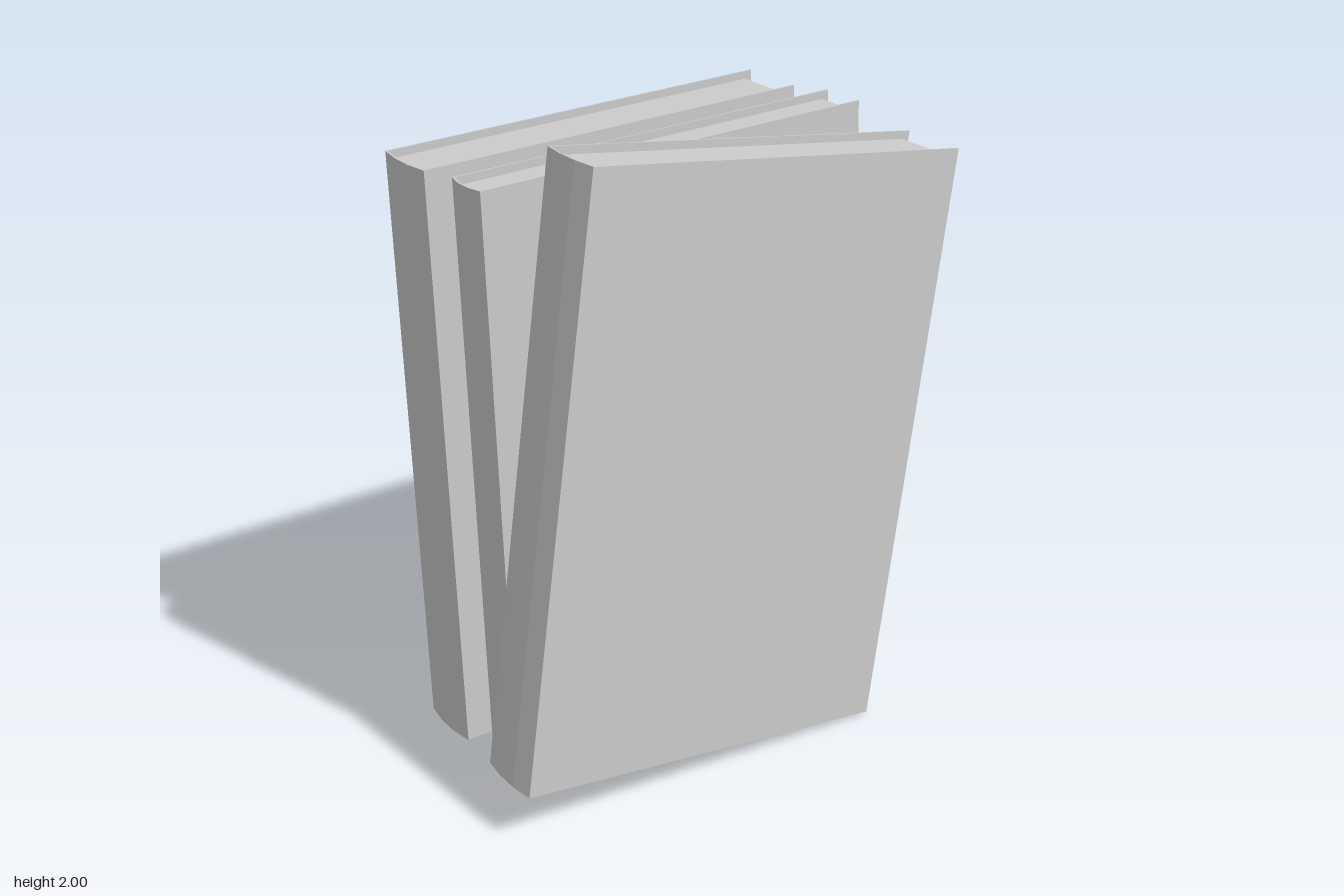
import * as THREE from 'three';

const WIDTH = 1.28, HEIGHT = 1.842;   // cover size, spine bulge included
const BOARD = 0.005;                  // cover thickness
const RECESS = 0.024;                 // how far the pages sit inside the cover
const BULGE = 0.012;                  // outward curve of the spine
const SPINE_SEGMENTS = 3;

const material = new THREE.MeshStandardMaterial({ color: 0xcccccc, flatShading: true });

// Faceted spine curve from one cover to the other
function spinePoints(left, halfDepth) {
  const points = [];
  for (let i = 0; i <= SPINE_SEGMENTS; i++) {
    const t = (i / SPINE_SEGMENTS) * 2 - 1;
    points.push(new THREE.Vector2(left + BULGE * t * t, t * halfDepth));
  }
  return points;
}

// Upright prism centred on y = 0
function prism(points, height, name) {
  const geometry = new THREE.ExtrudeGeometry(new THREE.Shape(points), { depth: height, bevelEnabled: false });
  geometry.translate(0, 0, -height / 2).rotateX(-Math.PI / 2);
  const mesh = new THREE.Mesh(geometry, material);
  mesh.name = name;
  return mesh;
}

function createBook(name, depth) {
  const book = new THREE.Group();
  book.name = name;
  const right = WIDTH / 2;
  const outer = spinePoints(-right, depth / 2);
  const inner = spinePoints(-right + BOARD, depth / 2 - BOARD);
  const corner = (x, z) => new THREE.Vector2(x, z);

  // Cover: two boards joined by the curved spine
  const cover = prism([
    ...outer,
    corner(right, depth / 2),
    corner(right, depth / 2 - BOARD),
    ...[...inner].reverse(),
    corner(right, -depth / 2 + BOARD),
    corner(right, -depth / 2),
  ], HEIGHT, 'cover');

  // Page block filling the cover, set in on three sides
  const pages = prism([
    ...inner,
    corner(right - RECESS, depth / 2 - BOARD),
    corner(right - RECESS, -depth / 2 + BOARD),
  ], HEIGHT - 2 * RECESS, 'pages');

  book.add(cover, pages);
  return book;
}

export function createModel() {
  const model = new THREE.Group();
  model.name = 'books';
  const books = [
    { name: 'frontBook', depth: 0.22, position: [0, 1, 0.263], tilt: -7.85 },
    { name: 'middleBook', depth: 0.146, position: [-0.048, 1.008, 0.076], tilt: 1.6 },
    { name: 'backBook', depth: 0.22, position: [-0.048, 0.985, -0.263], tilt: 1.6 },
  ];
  for (const { name, depth, position, tilt } of books) {
    const book = createBook(name, depth);
    book.position.set(...position);
    book.rotation.z = THREE.MathUtils.degToRad(tilt);
    model.add(book);
  }
  return model;
}
